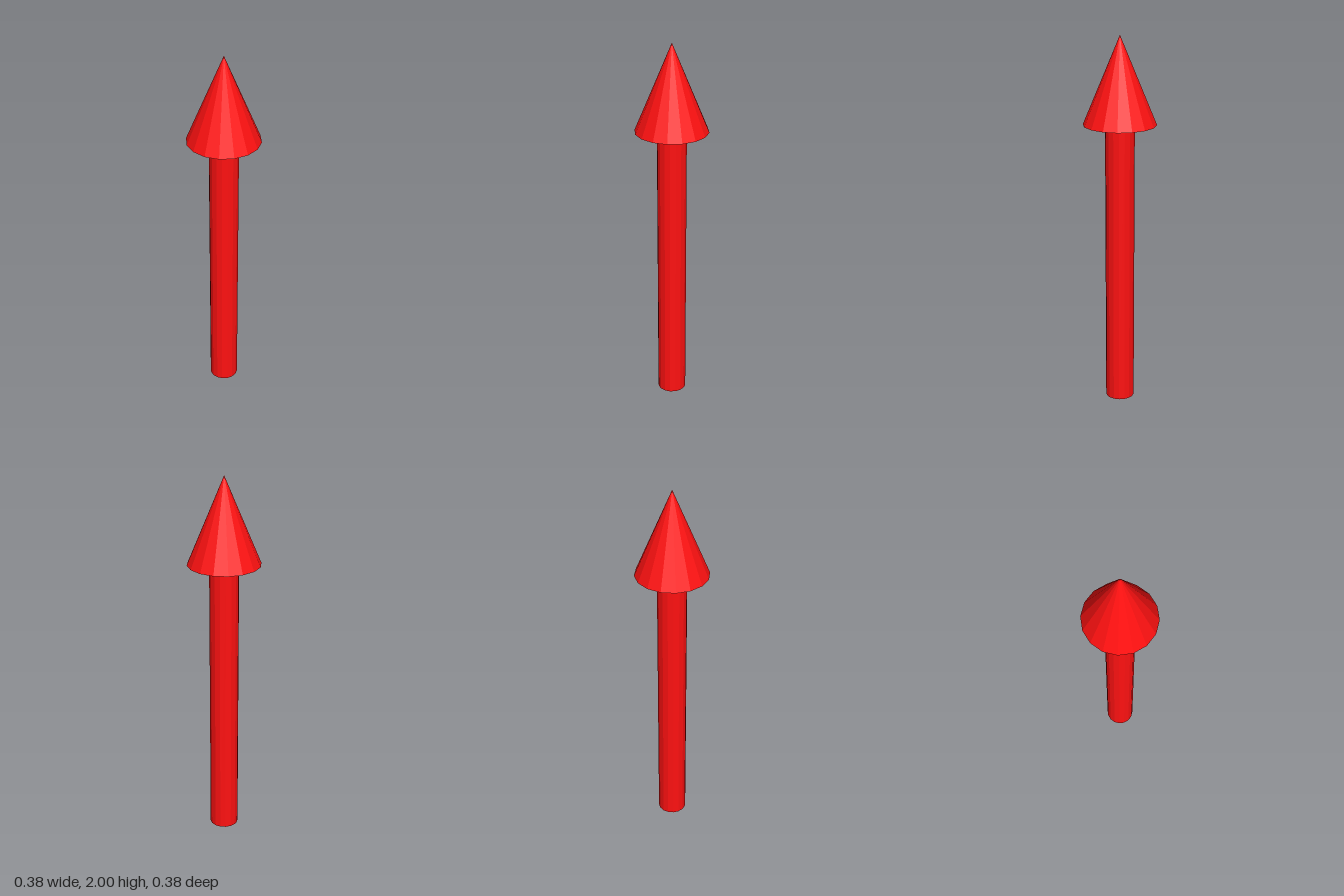
import * as THREE from 'three';

const SIDES = 16;
const HEAD_BASE = 1.54;
const TOP = 2;
const SHAFT_RADIUS = 0.077;
const HEAD_RADIUS = 0.192;

export function createModel() {
  const group = new THREE.Group();
  group.name = 'arrow';
  const red = new THREE.MeshStandardMaterial({ color: 0xff1111, flatShading: true });

  // Straight shaft, closed at the foot
  const shaft = new THREE.Mesh(
    new THREE.CylinderGeometry(SHAFT_RADIUS, SHAFT_RADIUS, HEAD_BASE, SIDES), red);
  shaft.name = 'shaft';
  shaft.position.y = HEAD_BASE / 2;

  // Faceted cone tip with a flat underside
  const head = new THREE.Mesh(
    new THREE.ConeGeometry(HEAD_RADIUS, TOP - HEAD_BASE, SIDES), red);
  head.name = 'arrowHead';
  head.position.y = (HEAD_BASE + TOP) / 2;

  group.add(shaft, head);
  return group;
}
